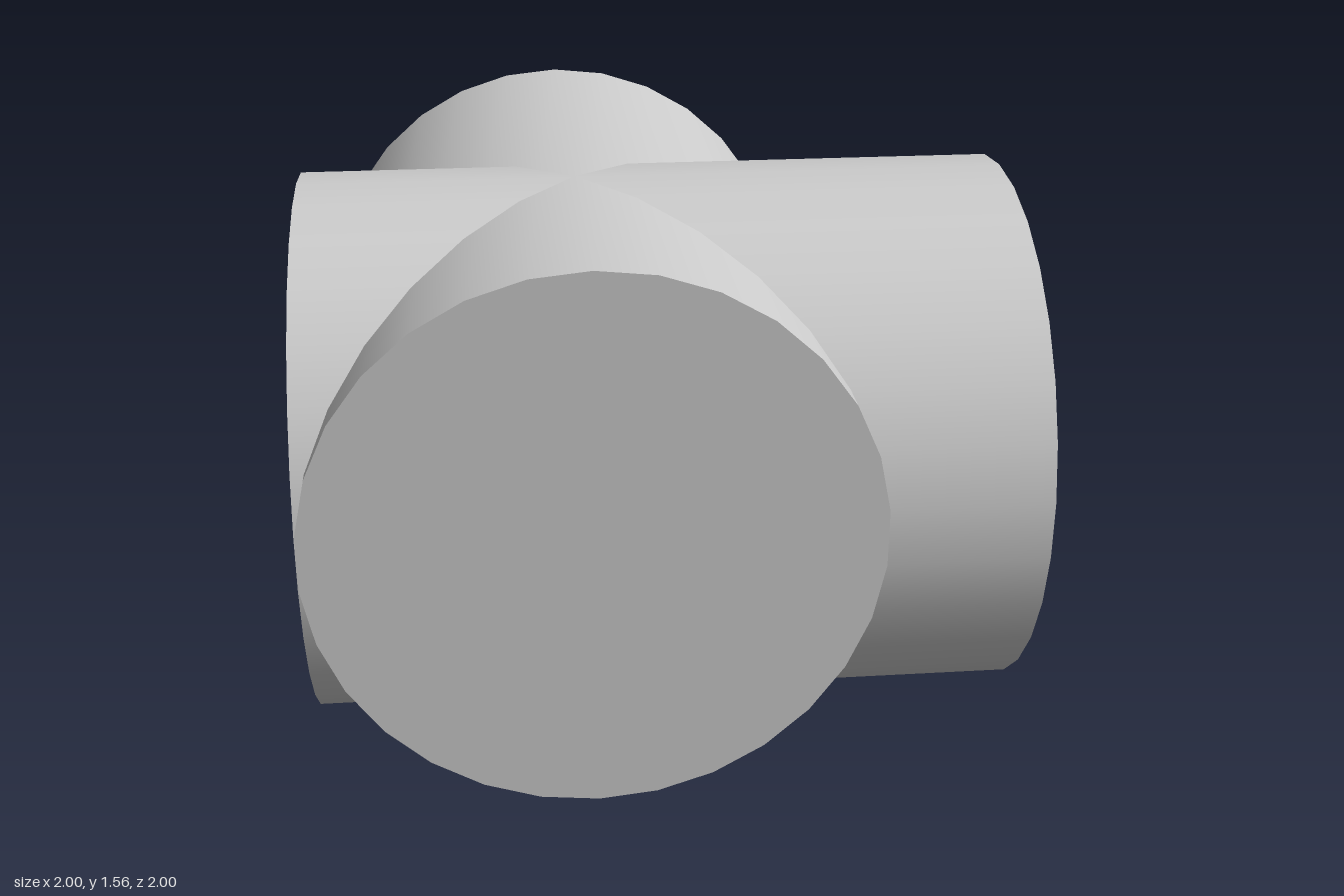
import * as THREE from 'three';

const RADIUS = 0.78;
const LENGTH = 2;
const OFFSET = 0.222;

export function createModel() {
  const group = new THREE.Group();
  group.name = 'crossedCylinders';
  const material = new THREE.MeshStandardMaterial({ color: 0xcccccc });

  // Capped 30-sided cylinder lying along z, with a vertex at its top
  const geometry = new THREE.CylinderGeometry(RADIUS, RADIUS, LENGTH, 30);
  geometry.rotateX(Math.PI / 2);

  const addCylinder = (name, x, z, turn) => {
    const mesh = new THREE.Mesh(geometry, material);
    mesh.name = name;
    mesh.position.set(x, RADIUS, z);
    mesh.rotation.y = turn;
    group.add(mesh);
  };

  // Two equal cylinders crossing at right angles, each off centre
  addCylinder('lengthwiseCylinder', -OFFSET, 0, 0);
  addCylinder('crosswiseCylinder', 0, OFFSET, Math.PI / 2);

  return group;
}
